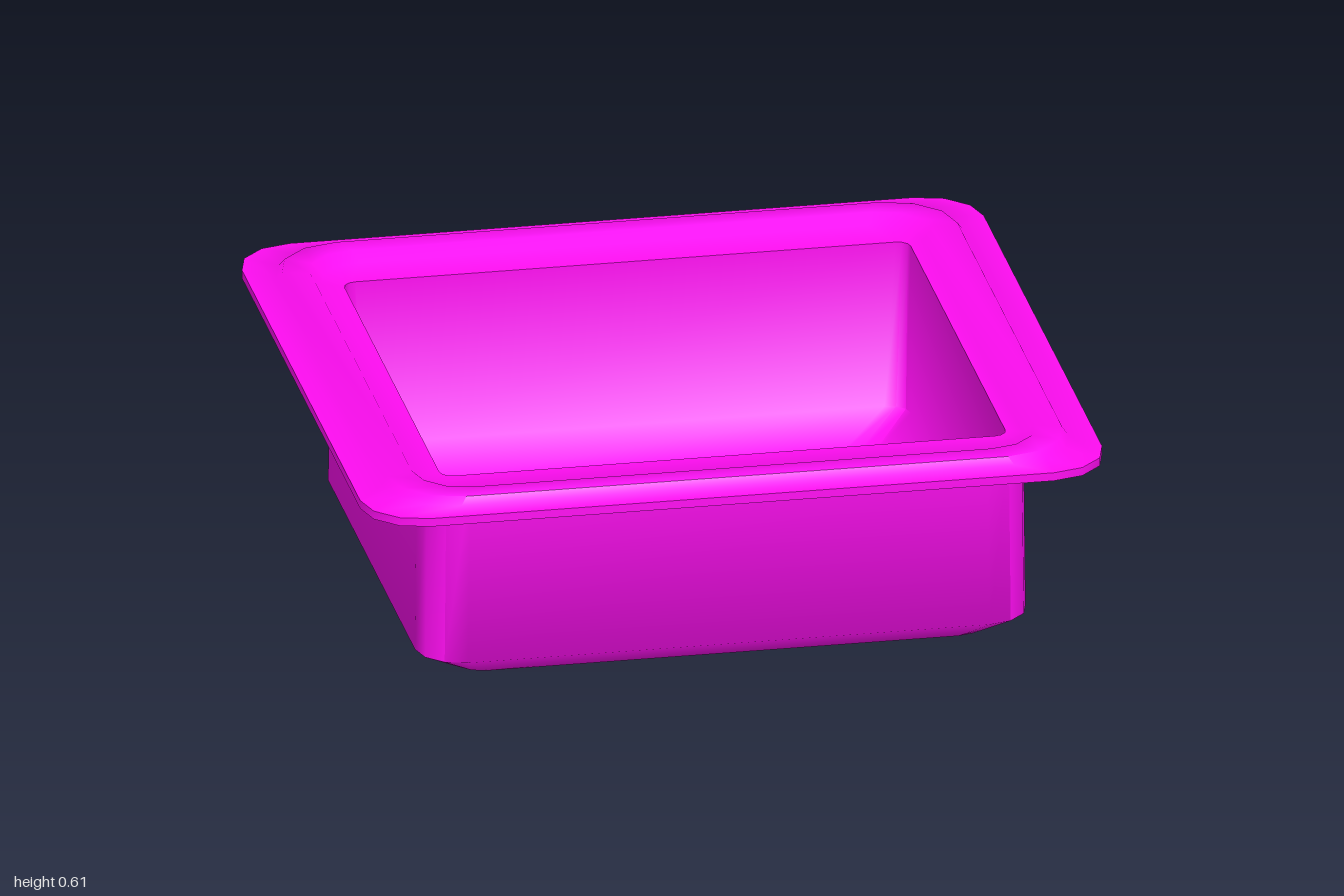
import * as THREE from 'three';
import { toCreasedNormals } from 'three/addons/utils/BufferGeometryUtils.js';

const CORNER_STEPS = 3;

// Points of a rectangle with rounded corners, lying flat at height y
function ring([cx, hx, hz, y, r]) {
  const points = [];
  [[1, 1], [-1, 1], [-1, -1], [1, -1]].forEach(([sx, sz], quarter) => {
    for (let i = 0; i <= CORNER_STEPS; i++) {
      const a = (quarter + i / CORNER_STEPS) * Math.PI / 2;
      points.push([cx + sx * (hx - r) + r * Math.cos(a), y, sz * (hz - r) + r * Math.sin(a)]);
    }
  });
  return points;
}

// Skin through successive rings, closed at both ends by a flat cap
function loft(sections, crease) {
  const rings = sections.map(ring);
  const n = rings[0].length;
  const positions = [];
  const tri = (...corners) => corners.forEach((p) => positions.push(...p));
  const first = sections[0], last = sections[sections.length - 1];
  const startCentre = [first[0], first[3], 0];
  const endCentre = [last[0], last[3], 0];
  for (let j = 0; j < n; j++) {
    const k = (j + 1) % n;
    tri(startCentre, rings[0][j], rings[0][k]);
    for (let i = 0; i < rings.length - 1; i++) {
      const a = rings[i], b = rings[i + 1];
      tri(a[j], b[j], a[k]);
      tri(a[k], b[j], b[k]);
    }
    const end = rings[rings.length - 1];
    tri(end[j], endCentre, end[k]);
  }
  const geometry = new THREE.BufferGeometry();
  geometry.setAttribute('position', new THREE.Float32BufferAttribute(positions, 3));
  return toCreasedNormals(geometry, crease);
}

export function createModel() {
  const model = new THREE.Group();
  model.name = 'squareTray';
  const material = new THREE.MeshStandardMaterial({ color: 0xff0df2 });

  // Each section: centre x, half width, half depth, height, corner radius
  const sections = [
    // outside of the basin, from the base up
    [0.013, 0.715, 0.64, 0, 0.08],
    [0.013, 0.823, 0.722, 0.06, 0.12],
    [0.013, 0.818, 0.72, 0.565, 0.12],
    // flange and its raised rim
    [0, 1, 0.98, 0.565, 0.16],
    [0, 1, 0.98, 0.588, 0.16],
    [0, 0.925, 0.915, 0.592, 0.18],
    [0, 0.91, 0.905, 0.613, 0.18],
    // step down to the inner ledge
    [0, 0.838, 0.842, 0.613, 0.14],
    [0, 0.812, 0.815, 0.588, 0.13],
    [0.008, 0.763, 0.69, 0.585, 0.035],
    // inside walls and floor
    [0.008, 0.758, 0.686, 0.12, 0.06],
    [0.008, 0.65, 0.59, 0.04, 0.08],
  ];

  const basin = new THREE.Mesh(loft(sections, 1.1), material);
  basin.name = 'flangedBasin';
  model.add(basin);
  return model;
}
